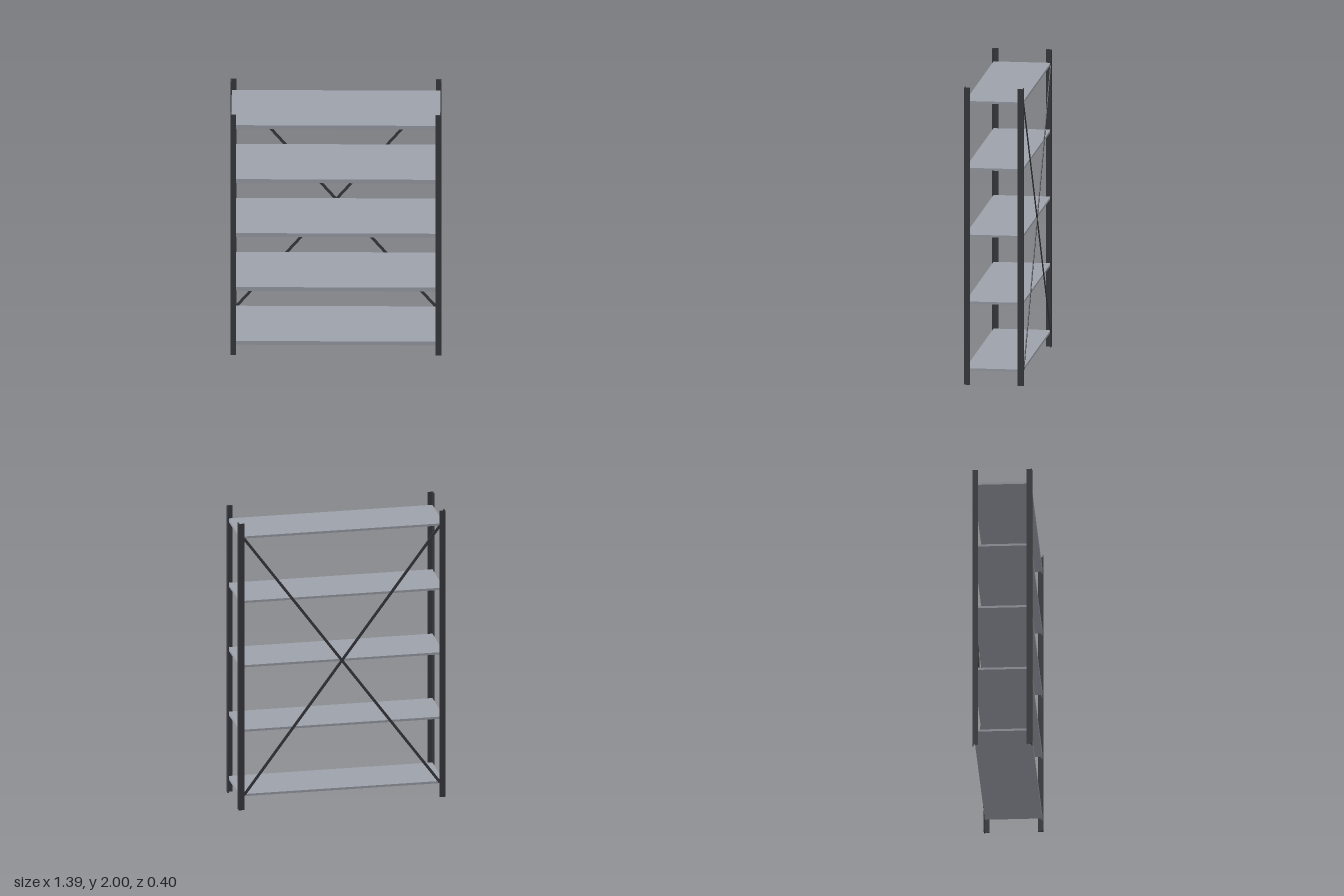
import * as THREE from 'three';

const W = 0.697, D = 0.198, H = 2; // half width, half depth, height
const LEG = 0.038, T = 0.007;      // angle-post flange width and thickness

export function createModel() {
  const group = new THREE.Group();
  const dark = new THREE.MeshStandardMaterial({ color: 0x3a3b40 });
  const steel = new THREE.MeshStandardMaterial({ color: 0x9da1aa });

  const add = (parent, name, geometry, material, x, y, z) => {
    const mesh = new THREE.Mesh(geometry, material);
    mesh.name = name;
    mesh.position.set(x, y, z);
    parent.add(mesh);
    return mesh;
  };

  // L-section corner posts, open towards the middle of the rack
  for (const sx of [-1, 1]) {
    for (const sz of [-1, 1]) {
      let corners = [[W, D], [W - LEG, D], [W - LEG, D - T], [W - T, D - T], [W - T, D - LEG], [W, D - LEG]];
      // shape y becomes -z once the extrusion is stood upright
      const shape = new THREE.Shape(corners.map(([x, z]) => new THREE.Vector2(x * sx, -z * sz)));
      const geometry = new THREE.ExtrudeGeometry(shape, { depth: H, bevelEnabled: false });
      geometry.rotateX(-Math.PI / 2);
      add(group, (sz > 0 ? 'front' : 'back') + (sx > 0 ? 'Left' : 'Right') + 'Post', geometry, dark, 0, 0, 0);
    }
  }

  // Five shelves, each a thin board with a folded front lip
  const shelfW = 2 * (W - T), shelfD = 2 * (D - T);
  const board = new THREE.BoxGeometry(shelfW, 0.015, shelfD);
  const lip = new THREE.BoxGeometry(shelfW, 0.017, 0.008);
  for (let i = 0; i < 5; i++) {
    const shelf = new THREE.Group();
    shelf.name = 'shelf' + (i + 1);
    shelf.position.y = 0.11 + i * 0.45;
    add(shelf, 'board', board, steel, 0, -0.0075, 0);
    add(shelf, 'frontLip', lip, steel, 0, -0.0225, shelfD / 2 - 0.004);
    group.add(shelf);
  }

  // Crossed flat braces on the back
  const dx = 1.32, dy = 1.79;
  const bar = new THREE.BoxGeometry(Math.hypot(dx, dy), 0.018, 0.006);
  for (const s of [-1, 1]) {
    const brace = add(group, s > 0 ? 'braceRising' : 'braceFalling', bar, dark, 0, 1.0, -D + 0.0035 + s * 0.0005);
    brace.rotation.z = s * Math.atan2(dy, dx);
  }
  return group;
}
